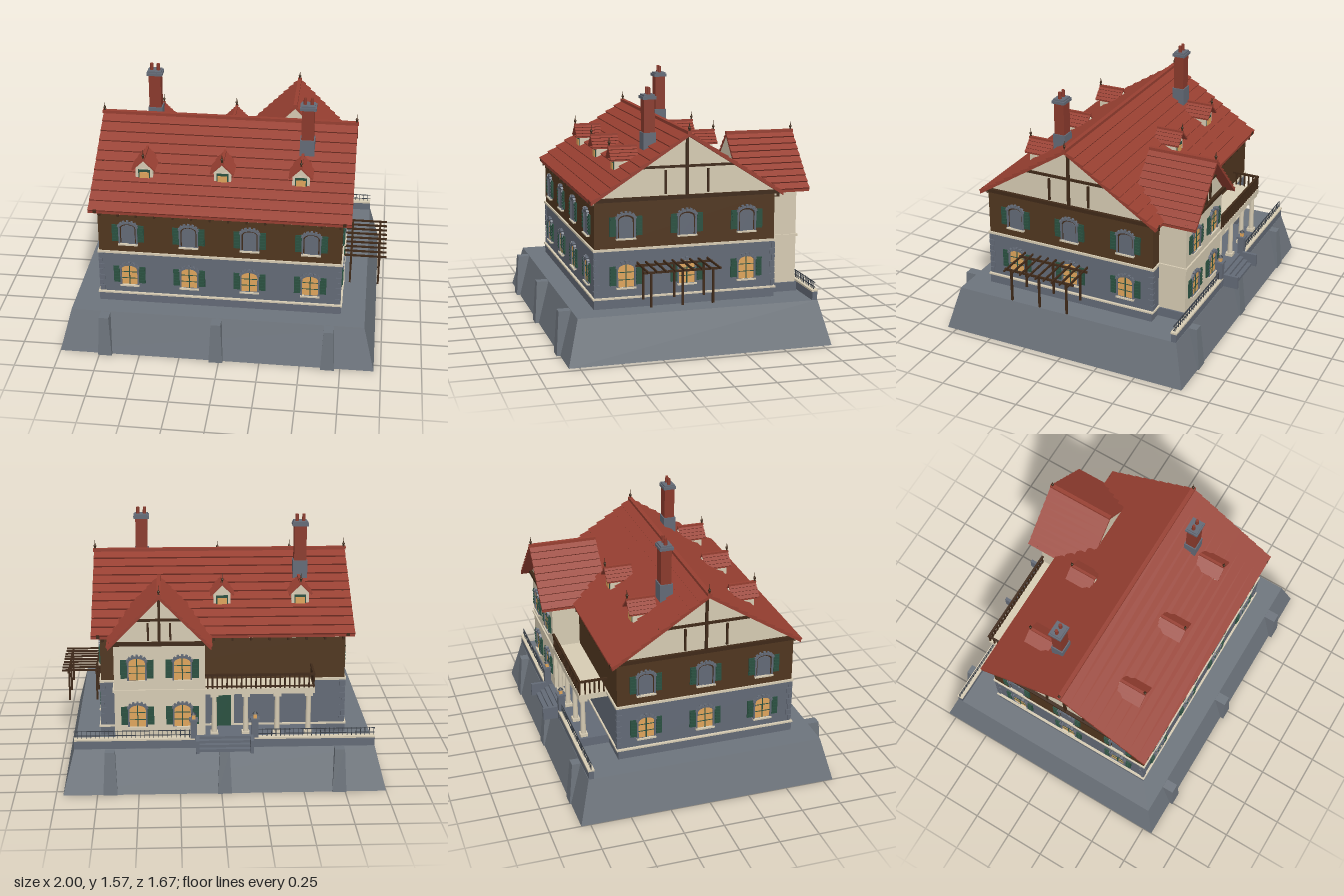
import * as THREE from 'three';

const mat = (name, color) => {
  const m = new THREE.MeshStandardMaterial({ color });
  m.name = name;
  return m;
};
const M = {
  stone: mat('base stone', 0x6d747c), slate: mat('slate wall', 0x636a76), cream: mat('cream plaster', 0xd6cbb3),
  roof: mat('red tile', 0x973f31), brick: mat('brick', 0x8a3a2c), wall: mat('brown cladding', 0x50361f),
  timber: mat('dark timber', 0x3f2918), green: mat('green paint', 0x2a5040), glass: mat('warm glass', 0xdfa55c),
  iron: mat('iron', 0x3a4048),
};

function add(parent, name, geo, material, x = 0, y = 0, z = 0) {
  const m = new THREE.Mesh(geo, material);
  m.name = name;
  m.position.set(x, y, z);
  parent.add(m);
  return m;
}
// Box given by its limits on each axis
const box = (p, name, material, x0, x1, y0, y1, z0, z1) =>
  add(p, name, new THREE.BoxGeometry(x1 - x0, y1 - y0, z1 - z0), material, (x0 + x1) / 2, (y0 + y1) / 2, (z0 + z1) / 2);

// Block with different rectangles [x0, x1, z0, z1] at bottom and top
function taper(p, name, material, y0, y1, bottom, top) {
  const g = new THREE.BoxGeometry(1, 1, 1).toNonIndexed(), a = g.attributes.position;
  for (let i = 0; i < a.count; i++) {
    const r = a.getY(i) > 0 ? top : bottom;
    a.setXYZ(i, a.getX(i) > 0 ? r[1] : r[0], a.getY(i) > 0 ? y1 : y0, a.getZ(i) > 0 ? r[3] : r[2]);
  }
  g.computeVertexNormals();
  return add(p, name, g, material);
}

// Extrude a list of [x, y] points along z, centred
function prism(points, depth) {
  const s = new THREE.Shape(points.map(([x, y]) => new THREE.Vector2(x, y)));
  return new THREE.ExtrudeGeometry(s, { depth, bevelEnabled: false }).translate(0, 0, -depth / 2);
}

// Gabled roof with overlapping tile rows, ridge along z
function tiledRoof(half, y0, y1, length, rows, step, thick) {
  const right = [];
  for (let i = 0; i < rows; i++) {
    const a = i / rows, b = (i + 1) / rows, L = Math.hypot(half, y1 - y0);
    const nx = (y1 - y0) / L * step, ny = half / L * step;
    right.push([half * (1 - a), y0 + (y1 - y0) * a], [half * (1 - a) + nx, y0 + (y1 - y0) * a + ny]);
    if (b === 1) right.push([0, y1]);
  }
  const left = right.slice(0, -1).reverse().map(([x, y]) => [-x, y]);
  return prism([...right, ...left, [-half, y0 - thick], [0, y1 - thick], [half, y0 - thick]], length);
}

function finial(p, x, y, z, h) {
  add(p, 'finial', new THREE.ConeGeometry(0.007, h, 6), M.timber, x, y + h / 2, z);
  add(p, 'finialBall', new THREE.SphereGeometry(0.009, 8, 6), M.timber, x, y + h * 0.35, z);
}

function archShape(w, h) {
  const s = new THREE.Shape(), r = w / 2, spring = h - r * 0.6;
  s.moveTo(-r, 0).lineTo(r, 0).lineTo(r, spring);
  for (let i = 1; i <= 10; i++) s.lineTo(r * Math.cos(Math.PI * i / 10), spring + r * 0.6 * Math.sin(Math.PI * i / 10));
  return s;
}

// Arched window with stone surround, bars, sill and shutters; faces +z from its group origin
function archWindow(p, x, y, z, turn, lit) {
  const g = new THREE.Group();
  g.name = 'window';
  g.position.set(x, y, z);
  g.rotation.y = turn;
  p.add(g);
  const ring = archShape(0.118, 0.15);
  ring.holes.push(archShape(0.098, 0.138));
  add(g, 'surround', new THREE.ExtrudeGeometry(ring, { depth: 0.012, bevelEnabled: false }), M.slate);
  for (let i = 0; i < 7; i++) {
    const a = Math.PI * (0.08 + 0.14 * i);
    const v = add(g, 'voussoir', new THREE.BoxGeometry(0.017, 0.014, 0.016), M.slate, 0.057 * Math.cos(a), 0.112 + 0.04 * Math.sin(a), 0.008);
    v.rotation.z = a;
  }
  if (lit) {
    add(g, 'pane', new THREE.ExtrudeGeometry(archShape(0.1, 0.139), { depth: 0.004, bevelEnabled: false }), M.glass);
    box(g, 'mullion', M.green, -0.003, 0.003, 0, 0.137, 0, 0.008);
    for (const h of [0.045, 0.09]) box(g, 'glazingBar', M.green, -0.048, 0.048, h - 0.002, h + 0.002, 0, 0.007);
  } else {
    add(g, 'frame', new THREE.ExtrudeGeometry(archShape(0.1, 0.139), { depth: 0.003, bevelEnabled: false }), M.timber);
    add(g, 'pane', new THREE.ExtrudeGeometry(archShape(0.084, 0.128), { depth: 0.006, bevelEnabled: false }), M.slate);
  }
  box(g, 'sill', M.cream, -0.06, 0.06, -0.01, 0, 0, 0.02);
  for (const s of [-1, 1]) {
    add(g, 'shutter', new THREE.BoxGeometry(0.04, 0.115, 0.008), M.green, s * 0.079, 0.07, 0.005);
    for (let i = 0; i < 5; i++) add(g, 'louver', new THREE.BoxGeometry(0.03, 0.01, 0.006), M.green, s * 0.079, 0.028 + i * 0.021, 0.011);
  }
}

// Timber frame on a gable facing +z; half is the half width at the foot
function gableFrame(p, x, z, turn, half, y0, y1) {
  const g = new THREE.Group();
  g.name = 'gableTimbers';
  g.position.set(x, 0, z);
  g.rotation.y = turn;
  p.add(g);
  const mid = y0 + (y1 - y0) * 0.48;
  box(g, 'tieBeam', M.timber, -half, half, y0 - 0.012, y0 + 0.01, 0, 0.02);
  box(g, 'collarBeam', M.timber, -half * 0.5, half * 0.5, mid - 0.007, mid + 0.007, 0, 0.013);
  box(g, 'kingPost', M.timber, -0.008, 0.008, y0, y1 - 0.025, 0, 0.015);
  for (const s of [-1, 1]) box(g, 'sidePost', M.timber, s * half * 0.22 - 0.006, s * half * 0.22 + 0.006, y0 + 0.02, mid - 0.02, 0, 0.012);
}

function dormer(p, x, back) {
  const g = new THREE.Group();
  g.name = 'dormer';
  g.position.set(x, 0, 0.042);
  g.rotation.y = back ? Math.PI : 0;
  p.add(g);
  box(g, 'dormerWall', M.cream, -0.053, 0.053, 1.04, 1.12, 0.18, 0.385);
  add(g, 'dormerGable', prism([[-0.053, 1.12], [0.053, 1.12], [0, 1.175]], 0.15), M.cream, 0, 0, 0.308);
  box(g, 'dormerFrame', M.green, -0.036, 0.036, 1.055, 1.112, 0.38, 0.388);
  box(g, 'dormerPane', M.glass, -0.029, 0.029, 1.055, 1.096, 0.38, 0.391);
  box(g, 'dormerSill', M.cream, -0.058, 0.058, 1.042, 1.052, 0.37, 0.397);
  add(g, 'dormerRoof', tiledRoof(0.07, 1.12, 1.19, 0.175, 4, 0.006, 0.008), M.roof, 0, 0, 0.324);
  box(g, 'dormerRidge', M.roof, -0.008, 0.008, 1.187, 1.2, 0.235, 0.413);
  finial(g, 0, 1.195, 0.405, 0.065);
}

function chimney(p, x, z, baseTop, top) {
  box(p, 'chimneyBase', M.slate, x - 0.045, x + 0.045, 1.08, baseTop, z - 0.04, z + 0.04);
  box(p, 'chimneyStack', M.brick, x - 0.038, x + 0.038, baseTop, top, z - 0.033, z + 0.033);
  box(p, 'chimneyCap', M.slate, x - 0.05, x + 0.05, top, top + 0.018, z - 0.042, z + 0.042);
  box(p, 'chimneyCapTop', M.slate, x - 0.042, x + 0.042, top + 0.018, top + 0.028, z - 0.035, z + 0.035);
  for (const s of [-1, 1]) add(p, 'chimneyPot', new THREE.CylinderGeometry(0.01, 0.012, 0.05, 10), M.brick, x + s * 0.021, top + 0.045, z);
}

export function createModel() {
  const G = new THREE.Group();
  G.name = 'house';
  const X0 = -0.765, X1 = 0.727, Z0 = -0.51, Z1 = 0.605, CX = -0.019, CZ = 0.042, WX = 0.367;

  // Battered base and buttresses
  taper(G, 'base', M.stone, 0, 0.27, [-1, 0.957, -0.807, 0.813], [-0.93, 0.887, -0.737, 0.743]);
  for (const x of [-0.714, CX, 0.672]) {
    taper(G, 'frontButtress', M.stone, 0, 0.268, [x - 0.043, x + 0.043, 0.7, 0.835], [x - 0.03, x + 0.03, 0.7, 0.818]);
    taper(G, 'backButtress', M.stone, 0, 0.268, [x - 0.043, x + 0.043, -0.815, -0.7], [x - 0.03, x + 0.03, -0.79, -0.7]);
  }

  // Main block, floor by floor
  box(G, 'plinth', M.slate, X0 - 0.01, X1 + 0.01, 0.27, 0.326, Z0, Z1 + 0.008);
  box(G, 'plinthMoulding', M.cream, X0 - 0.016, X1 + 0.016, 0.326, 0.336, Z0 - 0.01, Z1 + 0.014);
  box(G, 'groundFloor', M.slate, X0, X1, 0.336, 0.616, Z0, Z1);
  box(G, 'floorBand', M.cream, X0 - 0.01, X1 + 0.01, 0.616, 0.63, Z0 - 0.01, Z1 + 0.01);
  box(G, 'upperFloor', M.wall, X0, X1, 0.63, 0.92, Z0, Z1);
  for (const z of [Z0, Z1]) box(G, 'cornice', M.cream, X0, X1, 0.895, 0.918, z - 0.012, z + 0.012);
  for (const x of [X0, X1]) for (const z of [Z0, Z1]) for (let i = 0; i < 7; i++) {
    const w = i % 2 ? 0.022 : 0.034, d = i % 2 ? 0.034 : 0.022, y = 0.34 + i * 0.039;
    const cx = x + (x < 0 ? w / 2 - 0.006 : 0.006 - w / 2), cz = z + (z < 0 ? d / 2 - 0.006 : 0.006 - d / 2);
    add(G, 'quoin', new THREE.BoxGeometry(w, 0.034, d), M.slate, cx, y + 0.018, cz);
  }

  // Main roof, gables and rafter tails
  add(G, 'mainGableWalls', prism([[-0.57, 0.918], [0.57, 0.918], [0, 1.283]], X1 - X0), M.cream, CX, 0, CZ).rotation.y = Math.PI / 2;
  add(G, 'mainRoof', tiledRoof(0.59, 0.92, 1.3, 1.596, 10, 0.012, 0.016), M.roof, CX, 0, CZ).rotation.y = Math.PI / 2;
  box(G, 'mainRidge', M.roof, -0.823, 0.785, 1.297, 1.316, CZ - 0.013, CZ + 0.013);
  for (const x of [-0.81, 0.772]) finial(G, x, 1.31, CZ, 0.065);
  gableFrame(G, X1, CZ, Math.PI / 2, 0.595, 0.922, 1.3);
  gableFrame(G, X0, CZ, -Math.PI / 2, 0.595, 0.922, 1.3);
  for (let i = 0; i < 14; i++) {
    const x = CX - 0.73 + i * 1.46 / 13;
    box(G, 'rafterTail', M.timber, x - 0.006, x + 0.006, 0.885, 0.912, Z1, Z1 + 0.022);
    if (x < 0.08 || x > 0.66) box(G, 'rafterTail', M.timber, x - 0.006, x + 0.006, 0.885, 0.912, Z0 - 0.035, Z0);
  }

  // Windows of the main block
  for (const y of [0.395, 0.692]) {
    const lit = y < 0.5;
    for (const k of [-1.5, -0.5, 0.5, 1.5]) archWindow(G, CX + k * 0.374, y, Z1, 0, lit);
    for (const k of [-1, 0, 1]) for (const s of [-1, 1])
      archWindow(G, s > 0 ? X1 : X0, y, CZ + k * 0.374, s * Math.PI / 2, lit);
  }
  for (const x of [-0.5, CX, 0.458]) dormer(G, x, false);
  for (const x of [-0.5, CX]) dormer(G, x, true);
  chimney(G, -0.513, -0.135, 1.28, 1.5);
  chimney(G, 0.48, 0.213, 1.275, 1.475);

  // Back wing
  box(G, 'wingPlinth', M.slate, 0.085, 0.65, 0.27, 0.326, -0.692, Z0);
  box(G, 'wingWalls', M.cream, 0.095, 0.64, 0.326, 0.92, -0.685, -0.4);
  box(G, 'wingBand', M.cream, 0.085, 0.65, 0.616, 0.63, -0.695, Z0);
  add(G, 'wingGable', prism([[-0.285, 0.918], [0.285, 0.918], [0, 1.21]], 0.363), M.cream, WX, 0, -0.5035);
  add(G, 'wingRoof', tiledRoof(0.306, 0.915, 1.228, 0.437, 9, 0.011, 0.016), M.roof, WX, 0, -0.5375);
  box(G, 'wingRidge', M.roof, WX - 0.012, WX + 0.012, 1.222, 1.24, -0.758, -0.318);
  finial(G, WX, 1.235, -0.745, 0.06);
  gableFrame(G, WX, -0.685, Math.PI, 0.3, 0.922, 1.225);
  for (const x of [WX - 0.135, WX + 0.135]) for (const y of [0.395, 0.692]) archWindow(G, x, y, -0.685, Math.PI, true);

  // Porch with columns, and the balcony above it
  box(G, 'porchFloor', M.slate, -0.57, 0.09, 0.27, 0.326, -0.7, Z0);
  box(G, 'balconyFloor', M.cream, -0.565, 0.095, 0.595, 0.63, -0.69, Z0);
  for (const x of [-0.53, -0.34, -0.15, 0.04]) {
    add(G, 'porchColumn', new THREE.CylinderGeometry(0.014, 0.017, 0.27, 12), M.cream, x, 0.461, -0.66);
    box(G, 'columnFoot', M.cream, x - 0.023, x + 0.023, 0.326, 0.346, -0.683, -0.637);
    box(G, 'columnHead', M.cream, x - 0.024, x + 0.024, 0.575, 0.597, -0.684, -0.636);
  }
  box(G, 'balconyRail', M.timber, -0.565, 0.095, 0.71, 0.722, -0.69, -0.675);
  box(G, 'balconyLowerRail', M.timber, -0.565, 0.095, 0.638, 0.646, -0.687, -0.678);
  box(G, 'balconySideRail', M.timber, -0.565, -0.552, 0.71, 0.722, -0.69, Z0);
  for (let i = 0; i < 23; i++) box(G, 'baluster', M.timber, -0.562 + i * 0.029, -0.553 + i * 0.029, 0.63, 0.712, -0.687, -0.678);
  for (let i = 1; i < 6; i++) box(G, 'sideBaluster', M.timber, -0.563, -0.554, 0.63, 0.712, -0.682 + i * 0.029, -0.673 + i * 0.029);
  box(G, 'doorFrame', M.cream, -0.085, 0.047, 0.326, 0.54, Z0 - 0.012, Z0);
  box(G, 'door', M.green, -0.067, 0.029, 0.326, 0.525, Z0 - 0.018, Z0);

  // Back parapet with iron railing
  for (const [a, b] of [[-0.93, -0.2], [0.16, 0.887]]) {
    box(G, 'parapet', M.slate, a, b, 0.27, 0.322, -0.735, -0.703);
    box(G, 'parapetCoping', M.cream, a, b, 0.322, 0.333, -0.739, -0.699);
    for (const y of [0.35, 0.378]) box(G, 'railing', M.iron, a, b, y - 0.002, y + 0.002, -0.721, -0.717);
    for (let x = a + 0.005; x < b; x += 0.027) box(G, 'railingBar', M.iron, x - 0.0018, x + 0.0018, 0.333, 0.382, -0.721, -0.717);
  }

  // Steps between lantern piers
  for (let i = 0; i < 4; i++) box(G, 'step', M.slate, -0.175, 0.135, 0.27, 0.336 - i * 0.016, -0.72 - i * 0.028, -0.692 - i * 0.028);
  for (const s of [-1, 1]) {
    const c = CX + s * 0.163, x = CX + s * 0.185;
    box(G, 'stepCheek', M.slate, c - 0.01, c + 0.01, 0.27, 0.352, -0.833, -0.735);
    box(G, 'gatePier', M.slate, x - 0.02, x + 0.02, 0.27, 0.44, -0.738, -0.698);
    box(G, 'pierCap', M.slate, x - 0.027, x + 0.027, 0.44, 0.452, -0.745, -0.691);
    box(G, 'lantern', M.glass, x - 0.01, x + 0.01, 0.452, 0.48, -0.728, -0.708);
    add(G, 'lanternRoof', new THREE.ConeGeometry(0.018, 0.018, 8), M.iron, x, 0.489, -0.718);
  }

  // Pergola beside the house
  for (const x of [0.78, 0.957]) {
    for (const z of [0.325, 0.135, -0.05]) box(G, 'pergolaPost', M.timber, x - 0.006, x + 0.006, 0.326, 0.532, z - 0.006, z + 0.006);
    box(G, 'pergolaBeam', M.timber, x - 0.006, x + 0.006, 0.526, 0.538, -0.1, 0.37);
  }
  for (let i = 0; i < 9; i++) box(G, 'pergolaSlat', M.timber, 0.74, 1, 0.536, 0.547, -0.086 + i * 0.054, -0.077 + i * 0.054);
  return G;
}
